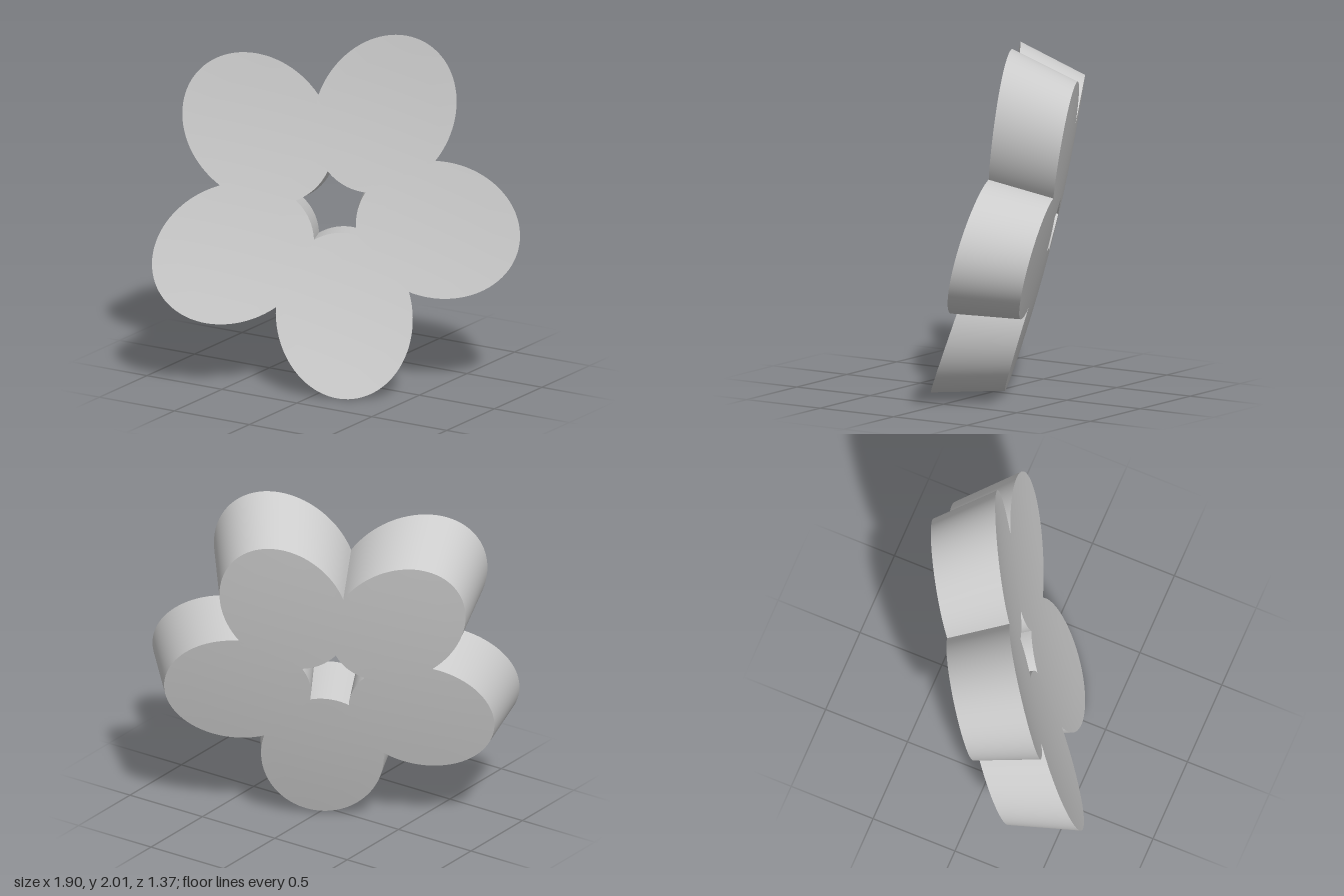
import * as THREE from 'three';
import { toCreasedNormals } from 'three/addons/utils/BufferGeometryUtils.js';

const PETALS = 5;
const STEPS = 48;          // angular steps per petal
const FACE_STEPS = 6;      // radial steps across each face
const BACK_SCALE = 0.9;    // the sides taper towards the back

// Each petal is an ellipse: centre distance, radial and tangential half axes
const R = 0.612, A = 0.468, B = 0.3855;

// Inner and outer radius of the petal ellipse along a ray at angle phi
function radii(phi) {
  const c = Math.cos(phi), s = Math.sin(phi);
  const qa = (c / A) ** 2 + (s / B) ** 2;
  const qb = R * c / A ** 2;
  const root = Math.sqrt(qb * qb - qa * ((R / A) ** 2 - 1));
  return [(qb - root) / qa, (qb + root) / qa];
}

// Shallow dish of the front face and gentle dome of the back face
const frontZ = (r) => -0.033 + 0.08 * r * r;
const backZ = (r) => -0.395 + 0.045 * r * r;

// Closed (radius, z) cross-section: back face outwards, then front face inwards
function section(phi) {
  const [inner, outer] = radii(phi);
  const back = [], front = [];
  for (let k = 0; k <= FACE_STEPS; k++) {
    const r = THREE.MathUtils.lerp(inner, outer, k / FACE_STEPS);
    back.push([r * BACK_SCALE, backZ(r)]);
    front.unshift([r, frontZ(r)]);
  }
  return [...back, ...front];
}

function flowerGeometry() {
  const positions = [], index = [];
  const rings = PETALS * STEPS, n = 2 * (FACE_STEPS + 1);
  const sector = 2 * Math.PI / PETALS;
  for (let i = 0; i < rings; i++) {
    const phi = ((i % STEPS) / STEPS - 0.5) * sector;
    const theta = Math.floor(i / STEPS) * sector + phi;
    for (const [r, z] of section(phi)) {
      positions.push(r * Math.cos(theta), r * Math.sin(theta), z);
    }
    const next = (i + 1) % rings;
    for (let j = 0; j < n; j++) {
      const k = (j + 1) % n;
      const a = i * n + j, b = next * n + j, c = next * n + k, d = i * n + k;
      index.push(a, b, d, b, c, d);
    }
  }
  const geometry = new THREE.BufferGeometry();
  geometry.setAttribute('position', new THREE.Float32BufferAttribute(positions, 3));
  geometry.setIndex(index);
  return geometry;
}

export function createModel() {
  const group = new THREE.Group();
  group.name = 'flower';
  const grey = new THREE.MeshStandardMaterial({ color: 0xcccccc });
  grey.name = 'grey';

  // Tilt the flower: first petal direction and face normal
  const normal = new THREE.Vector3(0.478, 0.226, 0.848).normalize();
  const petal = new THREE.Vector3(0.876, -0.18, -0.447).projectOnPlane(normal).normalize();
  const side = new THREE.Vector3().crossVectors(normal, petal);
  const geometry = flowerGeometry();
  geometry.applyMatrix4(new THREE.Matrix4().makeBasis(petal, side, normal));

  const body = new THREE.Mesh(toCreasedNormals(geometry, 0.5), grey);
  body.name = 'petals';
  body.position.set(-0.038, 1.028, 0.074);
  group.add(body);
  return group;
}
